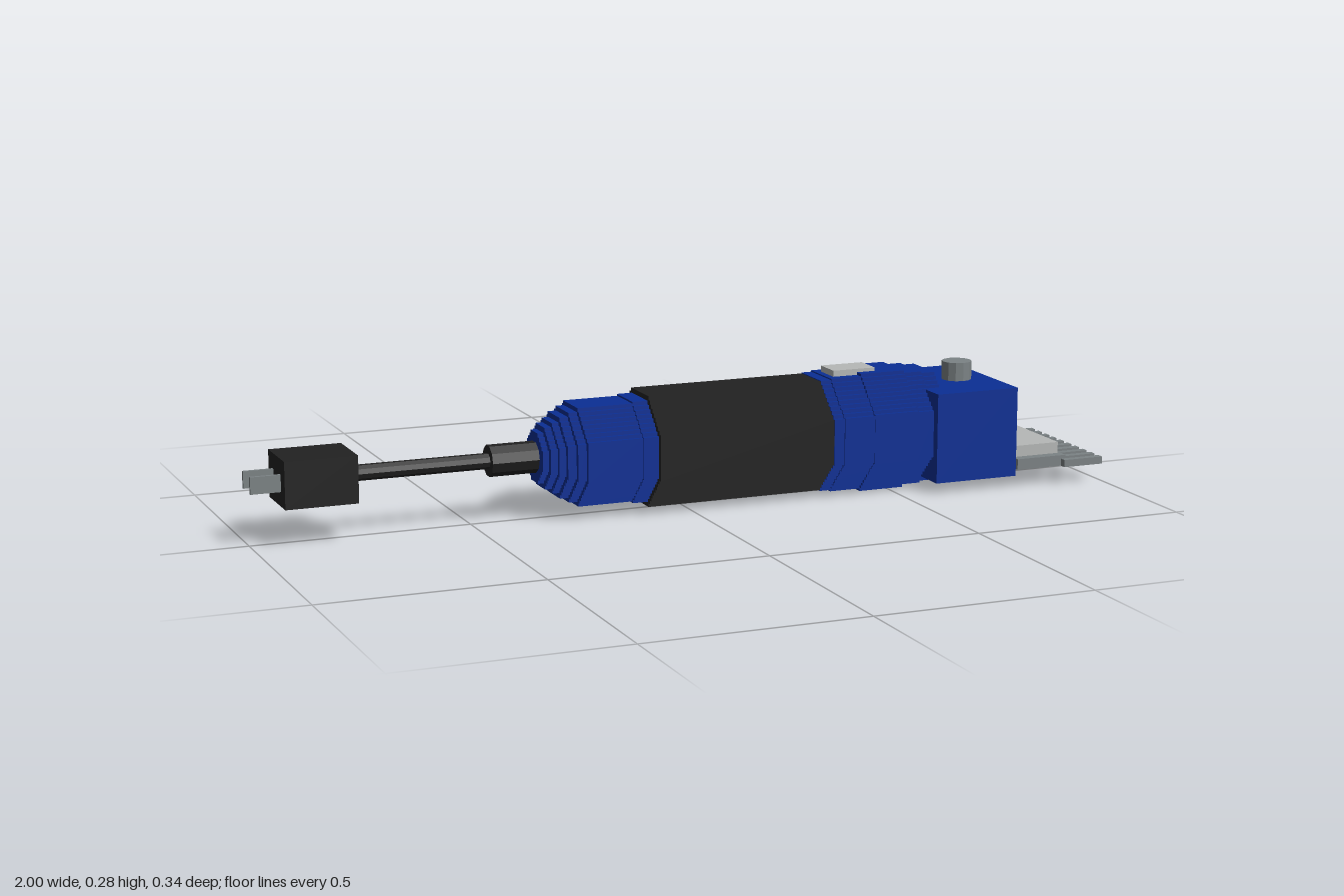
import * as THREE from 'three';

const CY = 0.14, CZ = -0.008; // centre line of the tool, which runs along x

export function createModel() {
  const group = new THREE.Group();
  const mat = (name, color) => {
    const m = new THREE.MeshStandardMaterial({ color, flatShading: true });
    m.name = name;
    return m;
  };
  const blue = mat('blue housing', 0x0b2f95);
  const black = mat('black rubber', 0x222222);
  const steel = mat('dark steel', 0x7c8385);
  const light = mat('light metal', 0xb6b8b7);

  const add = (name, geo, material) => {
    const mesh = new THREE.Mesh(geo, material);
    mesh.name = name;
    group.add(mesh);
    return mesh;
  };
  // Box given by its limits on each axis
  const box = (name, m, x0, x1, y0, y1, z0, z1) =>
    add(name, new THREE.BoxGeometry(x1 - x0, y1 - y0, z1 - z0), m)
      .position.set((x0 + x1) / 2, (y0 + y1) / 2, (z0 + z1) / 2);
  // Rod along x
  const rod = (name, m, x0, x1, r, sides) => {
    const geo = new THREE.CylinderGeometry(r, r, x1 - x0, sides).rotateZ(Math.PI / 2);
    add(name, geo, m).position.set((x0 + x1) / 2, CY, CZ);
  };
  // Octagonal section whose diagonal sides are small stairs, extruded along x
  const stepped = (name, m, x0, x1, ry, rz = ry) => {
    const steps = Math.max(3, Math.round(ry * 0.586 / 0.0085));
    const quarter = [];
    for (let i = 0; i <= steps; i++) {
      const a = 0.414 + 0.586 * i / steps;
      const b = 1 - 0.586 * i / steps;
      quarter.push([rz * b, ry * a]);
      if (i < steps) quarter.push([rz * (1 - 0.586 * (i + 1) / steps), ry * a]);
    }
    const back = [...quarter].reverse();
    const pts = [
      ...quarter, ...back.map(([z, y]) => [-z, y]),
      ...quarter.map(([z, y]) => [-z, -y]), ...back.map(([z, y]) => [z, -y]),
    ].map(([z, y]) => new THREE.Vector2(z, y));
    const geo = new THREE.ExtrudeGeometry(new THREE.Shape(pts), { depth: x1 - x0, bevelEnabled: false });
    add(name, geo.rotateY(Math.PI / 2), m).position.set(x0, CY, CZ);
  };

  // Power plug, prongs and cord
  box('plug', black, -0.933, -0.77, 0.088, 0.194, CZ - 0.066, CZ + 0.066);
  for (const s of [-1, 1]) {
    const z = CZ + s * 0.03;
    box('plugProng', steel, -1, -0.933, 0.121, 0.159, z - 0.004, z + 0.004);
  }
  rod('cord', black, -0.77, -0.45, 0.018, 10);
  rod('strainRelief', black, -0.455, -0.34, 0.036, 10);

  // Rear cap, stepping out towards the grip
  const cap = [[-0.346, 0.057], [-0.332, 0.07], [-0.316, 0.08], [-0.3, 0.092], [-0.28, 0.102], [-0.26, 0.112]];
  cap.forEach(([x, r], i) => stepped('rearCap', blue, x, i < cap.length - 1 ? cap[i + 1][0] : -0.13, r));
  stepped('rearCapRim', blue, -0.13, -0.094, 0.116);

  // Grip and front collar
  stepped('grip', black, -0.094, 0.33, 0.127);
  stepped('collarRear', blue, 0.33, 0.355, 0.129);
  stepped('collar', blue, 0.355, 0.43, 0.132);
  stepped('collarBulge', blue, 0.43, 0.54, 0.138, 0.133);
  stepped('collarFront', blue, 0.54, 0.585, 0.132);
  stepped('collarTip', blue, 0.585, 0.62, 0.128);

  // Cutting head
  box('head', blue, 0.58, 0.786, 0.027, 0.236, CZ - 0.151, CZ + 0.151);
  add('adjusterKnob', new THREE.CylinderGeometry(0.035, 0.035, 0.044, 12), steel)
    .position.set(0.705, 0.257, CZ);
  box('switch', light, 0.37, 0.475, 0.265, 0.286, CZ - 0.034, CZ + 0.034);

  // Blades and comb teeth
  box('lowerBlade', steel, 0.786, 0.912, 0.043, 0.068, -0.167, 0.152);
  box('upperBlade', light, 0.786, 0.905, 0.068, 0.094, -0.142, 0.127);
  for (let i = 0; i < 10; i++) {
    const z = -0.16 + i * 0.0357;
    box('tooth', steel, 0.9, 1, 0.043, 0.06, z - 0.0085, z + 0.0085);
  }
  return group;
}
